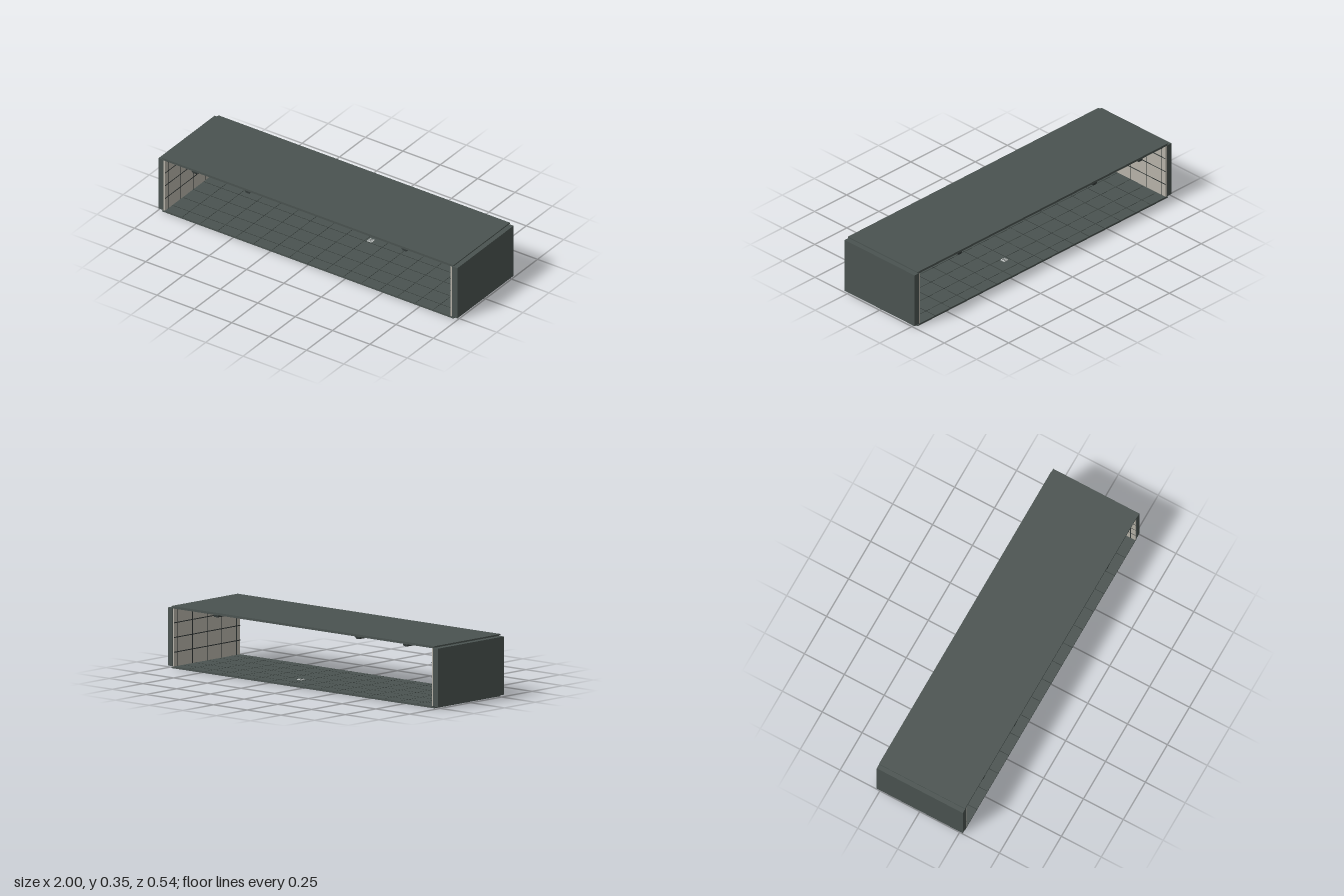
import * as THREE from 'three';

const material = (name, color) => {
  const m = new THREE.MeshStandardMaterial({ color });
  m.name = name;
  return m;
};

export function createModel() {
  const panel = material('slate panel', 0x4a5350);
  const tile = material('pale wall tile', 0xb6b2a8);
  const grout = material('dark grout', 0x303635);
  const beamDark = material('dark beam', 0x333a39);
  const steel = material('drain steel', 0xc4c8c6);

  const model = new THREE.Group();
  model.name = 'openTunnel';

  const box = (parent, name, mat, w, h, d, x, y, z) => {
    const mesh = new THREE.Mesh(new THREE.BoxGeometry(w, h, d), mat);
    mesh.name = name;
    mesh.position.set(x, y, z);
    parent.add(mesh);
    return mesh;
  };
  const group = (name) => {
    const g = new THREE.Group();
    g.name = name;
    model.add(g);
    return g;
  };

  const depth = 0.54;
  const pitch = 0.12;

  // Floor: slab with a tiled layer on top
  const floor = group('floor');
  box(floor, 'floorSlab', panel, 1.95, 0.006, depth, 0, 0.003, 0);
  box(floor, 'floorTiles', panel, 1.93, 0.005, depth, 0, 0.0085, 0);
  for (let i = -7; i <= 7; i++) {
    box(floor, 'floorJointAcross', grout, 0.003, 0.0006, depth, i * pitch, 0.0112, 0);
  }
  for (let j = -2; j <= 2; j++) {
    box(floor, 'floorJointAlong', grout, 1.91, 0.0006, 0.003, 0, 0.0112, j * 0.1);
  }

  // Floor drain with slots
  const drain = group('floorDrain');
  box(drain, 'drainPlate', steel, 0.03, 0.004, 0.03, 0.15, 0.013, -0.12);
  for (const s of [-1, 0, 1]) {
    box(drain, 'drainSlot', grout, 0.02, 0.001, 0.003, 0.15, 0.0152, -0.12 + s * 0.008);
  }

  // Ceiling: outer roof and inner lining
  const ceiling = group('ceiling');
  box(ceiling, 'roofPanel', panel, 1.95, 0.007, depth, 0, 0.3425, 0);
  box(ceiling, 'ceilingLining', panel, 1.93, 0.006, depth, 0, 0.336, 0);

  // Ceiling beams running front to back
  for (const x of [-0.76, -0.405, 0.645]) {
    const beam = group('ceilingBeam');
    box(beam, 'beamBase', beamDark, 0.034, 0.006, depth, x, 0.330, 0);
    box(beam, 'beamRail', beamDark, 0.026, 0.007, depth, x, 0.3245, 0);
  }

  // End walls: outer panel, inner layer, and tiled lining
  for (const side of [-1, 1]) {
    const wall = group(side > 0 ? 'leftWall' : 'rightWall');
    box(wall, 'outerPanel', panel, 0.034, 0.324, depth, side * 0.983, 0.173, 0);
    box(wall, 'wallTiles', tile, 0.009, 0.322, depth, side * 0.9605, 0.172, 0);
    const face = side * 0.9557;
    for (let j = -2; j <= 2; j++) {
      box(wall, 'uprightJoint', grout, 0.0012, 0.322, 0.005, face, 0.172, j * pitch);
    }
    for (const y of [0.09, 0.172, 0.254]) {
      box(wall, 'levelJoint', grout, 0.0012, 0.005, depth, face, y, 0);
    }
  }

  return model;
}
